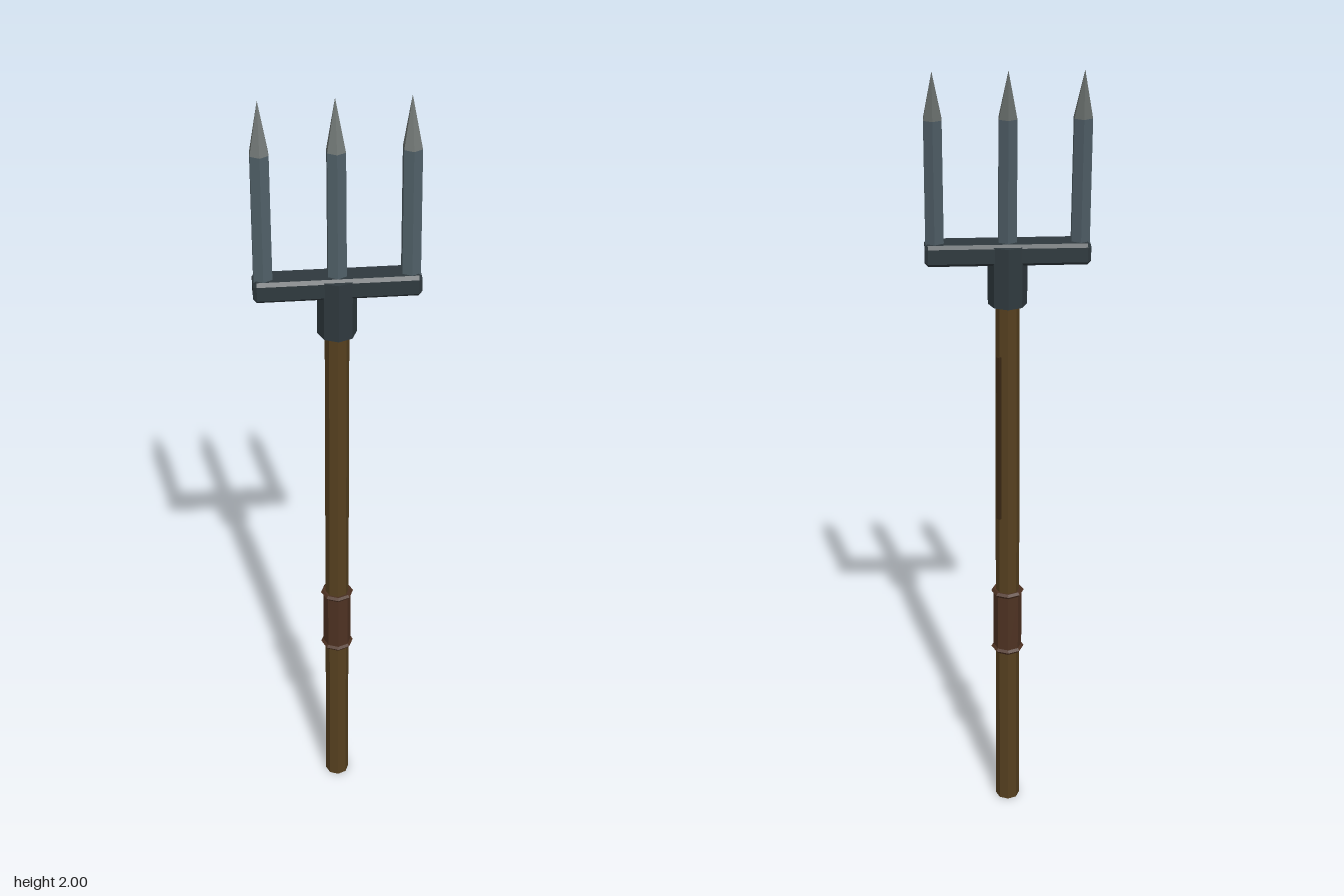
import * as THREE from 'three';

const mat = (color) => new THREE.MeshStandardMaterial({ color, flatShading: true });

export function createModel() {
  const model = new THREE.Group();
  const wood = mat(0x56401f), darkWood = mat(0x3a2814), leather = mat(0x4e3222);
  const iron = mat(0x2f393e), steel = mat(0x4f5e66), edge = mat(0x6b716f);

  const add = (name, geometry, material, x = 0, y = 0, z = 0, parent = model) => {
    const mesh = new THREE.Mesh(geometry, material);
    mesh.name = name;
    mesh.position.set(x, y, z);
    parent.add(mesh);
    return mesh;
  };

  // Octagonal wooden shaft with a raised grain strip
  add('shaft', new THREE.CylinderGeometry(0.029, 0.031, 1.5, 8), wood, 0, 0.75, 0);
  const strip = add('grainStrip', new THREE.BoxGeometry(0.008, 0.44, 0.01), darkWood, 0.022, 1.08, -0.022);
  strip.rotation.y = Math.PI / 4;

  // Leather grip with a ring at each end
  add('grip', new THREE.CylinderGeometry(0.036, 0.036, 0.17, 8), leather, 0, 0.555, 0);
  for (const y of [0.472, 0.64]) {
    const ring = add('gripRing', new THREE.TorusGeometry(0.035, 0.007, 5, 8), leather, 0, y, 0);
    ring.rotation.x = Math.PI / 2;
  }

  // Iron socket
  add('socket', new THREE.CylinderGeometry(0.047, 0.047, 0.15, 8), iron, 0, 1.505, 0);

  // Crossbar: chamfered section swept along x, with chamfered ends
  const hz = 0.034, hy = 0.026, c = 0.008, half = 0.195;
  const section = new THREE.Shape([
    [hz, hy - c], [hz - c, hy], [c - hz, hy], [-hz, hy - c],
    [-hz, c - hy], [c - hz, -hy], [hz - c, -hy], [hz, c - hy],
  ].map(([z, y]) => new THREE.Vector2(z, y)));
  const bar = new THREE.ExtrudeGeometry(section, {
    depth: 2 * (half - c), bevelEnabled: true, bevelThickness: c,
    bevelSize: c, bevelOffset: -c, bevelSegments: 1,
  });
  bar.translate(0, 0, c - half).rotateY(Math.PI / 2);
  add('crossbar', bar, iron, 0, 1.56, 0);

  // Three hexagonal tines leaning back, the points leaning further
  const lean = (geometry, y0, z0, slope) => {
    const p = geometry.attributes.position;
    for (let i = 0; i < p.count; i++) p.setZ(i, p.getZ(i) + z0 - slope * (p.getY(i) - y0));
    geometry.computeVertexNormals();
    return geometry;
  };
  const y0 = 1.565, y1 = 1.885, r = 0.025;
  for (const x of [-0.171, 0, 0.171]) {
    const tine = new THREE.Group();
    tine.name = 'tine';
    tine.position.x = x;
    const body = new THREE.CylinderGeometry(r * 0.97, r, y1 - y0, 6).translate(0, (y0 + y1) / 2, 0);
    add('tineBody', lean(body, y0, 0.003, 0.075), steel, 0, 0, 0, tine);
    const point = new THREE.ConeGeometry(r * 0.97, 2 - y1, 6).translate(0, (y1 + 2) / 2, 0);
    add('tinePoint', lean(point, y1, -0.021, 0.215), edge, 0, 0, 0, tine);
    model.add(tine);
  }
  return model;
}
